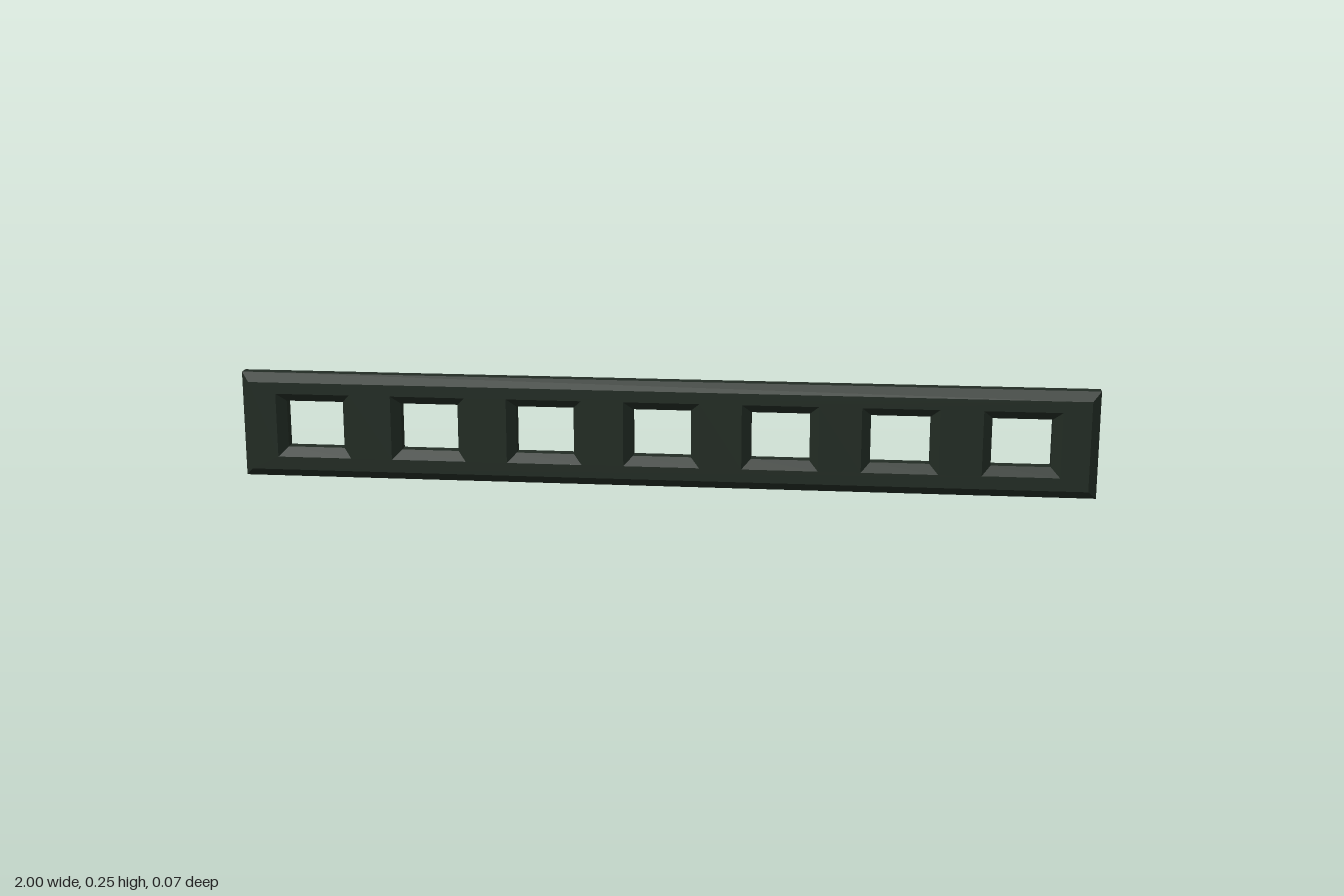
import * as THREE from 'three';

// Rectangle outline centred on (cx, cy)
function rectangle(target, cx, cy, w, h) {
  target.moveTo(cx - w / 2, cy - h / 2);
  target.lineTo(cx + w / 2, cy - h / 2);
  target.lineTo(cx + w / 2, cy + h / 2);
  target.lineTo(cx - w / 2, cy + h / 2);
  target.closePath();
  return target;
}

export function createModel() {
  const group = new THREE.Group();
  group.name = 'perforatedBar';

  const length = 2, height = 0.252, depth = 0.067, chamfer = 0.0205;
  const holeCount = 7, holeSpacing = 0.2755, holeWidth = 0.136, holeHeight = 0.112;

  // Bar outline with a row of rectangular windows
  const outline = rectangle(new THREE.Shape(), 0, height / 2, length, height);
  for (let i = 0; i < holeCount; i++) {
    const x = (i - (holeCount - 1) / 2) * holeSpacing;
    outline.holes.push(rectangle(new THREE.Path(), x, height / 2 + 0.002, holeWidth, holeHeight));
  }

  // Chamfer both the outer rim and the window edges, front and back
  const core = depth - 2 * chamfer;
  const geometry = new THREE.ExtrudeGeometry(outline, {
    depth: core,
    bevelEnabled: true,
    bevelSegments: 1,
    bevelSize: chamfer,
    bevelThickness: chamfer,
    bevelOffset: -chamfer,
  });
  geometry.translate(0, 0, -core / 2);

  const material = new THREE.MeshStandardMaterial({ color: 0x222c24, flatShading: true });
  const bar = new THREE.Mesh(geometry, material);
  bar.name = 'bar';
  group.add(bar);
  return group;
}
